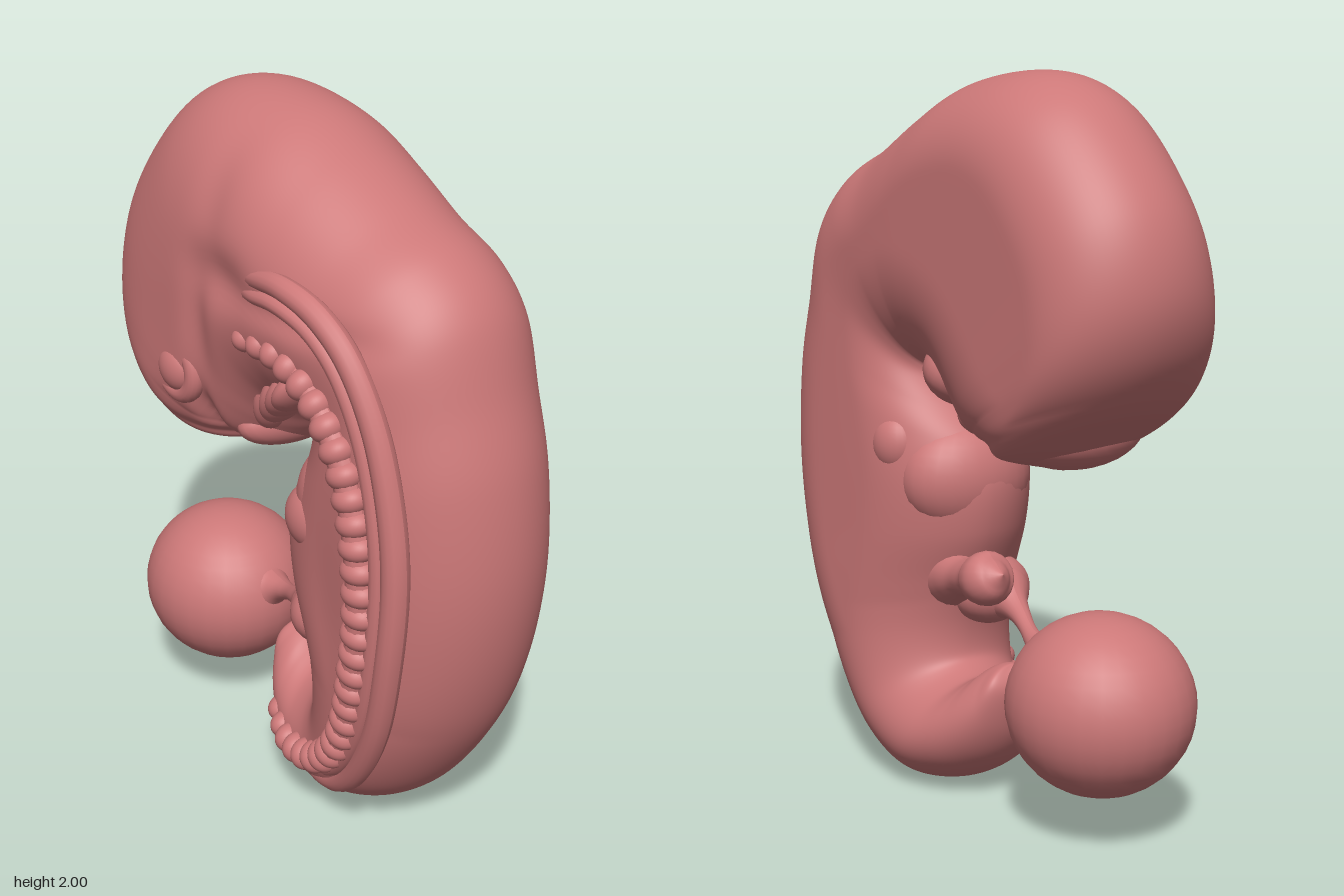
import * as THREE from 'three';

const skin = new THREE.MeshStandardMaterial({ color: 0xcc7878 });
skin.name = 'rosySkin';

// Body cross-sections from face to tail tip: back edge x, y, belly edge x, y, thickness
const KEYS = [
  [-0.34, 0.97, -0.32, 0.97, 0], [-0.48, 1.06, -0.21, 0.99, 0.68], [-0.625, 1.175, -0.17, 1.02, 0.9],
  [-0.725, 1.32, -0.11, 1.02, 0.98], [-0.76, 1.48, -0.05, 1.04, 1], [-0.72, 1.66, 0, 1.09, 1],
  [-0.60, 1.83, 0.03, 1.13, 1], [-0.46, 1.95, 0.06, 1.16, 1], [-0.29, 2, 0.09, 1.175, 1],
  [-0.06, 1.98, 0.11, 1.18, 1], [0.13, 1.905, 0.125, 1.18, 1], [0.32, 1.81, 0.135, 1.175, 1],
  [0.49, 1.735, 0.135, 1.16, 1], [0.61, 1.61, 0.12, 1.13, 1], [0.68, 1.40, 0.07, 1.07, 1],
  [0.735, 1.2, 0.01, 0.99, 1], [0.757, 0.95, -0.03, 0.88, 1], [0.735, 0.72, -0.015, 0.74, 1],
  [0.675, 0.5, 0.04, 0.6, 1], [0.585, 0.32, 0.08, 0.47, 0.97], [0.46, 0.15, 0.085, 0.38, 0.92],
  [0.33, 0.05, 0.06, 0.345, 0.88], [0.18, 0.003, 0, 0.33, 0.83], [0.03, 0.03, -0.05, 0.355, 0.72],
  [-0.08, 0.1, -0.08, 0.38, 0.6], [-0.15, 0.2, -0.11, 0.395, 0.46], [-0.18, 0.32, -0.14, 0.4, 0.3],
  [-0.165, 0.385, -0.15, 0.395, 0],
];

// Soft dents and swellings on the front side: x, y, radius x, radius y, height
const BUMPS = [
  [-0.06, 1.58, 0.12, 0.07, -0.025], [-0.17, 1.4, 0.05, 0.2, -0.018], [-0.12, 1.78, 0.06, 0.15, -0.012],
  [0.25, 1.55, 0.2, 0.04, -0.02], [-0.2, 1.1, 0.03, 0.1, -0.05], [0.3, 0.75, 0.12, 0.25, -0.015],
];

const spline = pts => new THREE.CatmullRomCurve3(pts.map(p => new THREE.Vector3(...p)), false, 'catmullrom');
const dome = (d, r) => Math.sqrt(Math.max(0, 1 - (1 - Math.min(d / r, 1)) ** 2));

function bodyGeometry() {
  const outer = spline(KEYS.map(k => [k[0], k[1], k[4]]));
  const inner = spline(KEYS.map(k => [k[2], k[3], 0]));
  const rows = 270, half = 56, ring = half * 2, pos = [], idx = [];
  for (let i = 0; i <= rows; i++) {
    const t = i / rows, o = outer.getPoint(t), n = inner.getPoint(t);
    const h = Math.max(0, o.z), len = Math.hypot(o.x - n.x, o.y - n.y);
    const key = t * (KEYS.length - 1);
    const trunk = THREE.MathUtils.smoothstep(key, 9, 14), tail = THREE.MathUtils.smoothstep(key, 18, 23);
    const limit = len / 2 + 1e-5;
    const backR = Math.min(limit, 0.27), frontR = Math.min(limit, 0.5 - 0.2 * trunk);
    const bellyR = Math.min(limit, 0.36 - 0.06 * trunk);
    for (let j = 0; j < ring; j++) {
      const front = j <= half, a = (front ? j : ring - j) / half;
      const u = (1 - Math.cos(Math.PI * a)) / 2, d = u * len;
      const x = o.x + (n.x - o.x) * u, y = o.y + (n.y - o.y) * u;
      const f = dome(d, front ? frontR : backR) * dome(len - d, bellyR) * h;
      const recess = trunk * u * u;
      let z = -0.05 - 0.025 * tail + f * (front ? 0.33 - 0.03 * trunk - 0.05 * recess : 0.06 * recess - 0.265);
      if (front) for (const [bx, by, rx, ry, amp] of BUMPS)
        z += f * amp * Math.exp(-(((x - bx) / rx) ** 2) - ((y - by) / ry) ** 2);
      pos.push(x, y, z);
    }
  }
  for (let i = 0; i < rows; i++) for (let j = 0; j < ring; j++) {
    const k = (j + 1) % ring, a = i * ring, b = a + ring;
    idx.push(a + j, a + k, b + j, a + k, b + k, b + j);
  }
  const g = new THREE.BufferGeometry();
  g.setAttribute('position', new THREE.Float32BufferAttribute(pos, 3));
  g.setIndex(idx);
  g.computeVertexNormals();
  return g;
}

// Tube whose radius follows a list of values
function taperTube(curve, radii, seg = 60, sides = 20) {
  const g = new THREE.TubeGeometry(curve, seg, 1, sides, false);
  const p = g.attributes.position, v = new THREE.Vector3();
  const rad = spline(radii.map((r, i) => [i, r, 0]));
  for (let i = 0; i < p.count; i++) {
    const t = Math.floor(i / (sides + 1)) / seg, c = curve.getPointAt(t);
    v.fromBufferAttribute(p, i).sub(c).multiplyScalar(Math.max(0.0005, rad.getPoint(t).y)).add(c);
    p.setXYZ(i, v.x, v.y, v.z);
  }
  g.computeVertexNormals();
  return g;
}

export function createModel() {
  const model = new THREE.Group();
  model.name = 'embryo';
  const add = (name, geo, parent = model) => {
    const m = new THREE.Mesh(geo, skin);
    m.name = name;
    parent.add(m);
    return m;
  };
  const ball = new THREE.SphereGeometry(1, 28, 20);
  const blob = (name, [x, y, z], [rx, ry, rz], turn = 0, parent = model) => {
    const m = add(name, ball, parent);
    m.position.set(x, y, z);
    m.scale.set(rx, ry, rz);
    m.rotation.z = turn;
    return m;
  };

  add('body', bodyGeometry());

  // Ridges along the back
  const ridge = [
    [-0.05, 1.58, 0.2], [0.06, 1.615, 0.245], [0.2, 1.635, 0.26], [0.33, 1.6, 0.25], [0.445, 1.51, 0.24],
    [0.535, 1.35, 0.23], [0.59, 1.15, 0.225], [0.61, 0.95, 0.225], [0.59, 0.72, 0.225], [0.53, 0.48, 0.21],
    [0.425, 0.28, 0.185], [0.3, 0.155, 0.155], [0.16, 0.11, 0.125], [0.03, 0.125, 0.08], [-0.05, 0.17, 0.03],
  ];
  const ridgeCurve = spline(ridge);
  add('outerBackRidge', taperTube(ridgeCurve, [0.02, 0.034, 0.036, 0.038, 0.038, 0.036, 0.032, 0.02], 140, 14));
  const inset = [];
  for (let i = 0; i <= 24; i++) {
    const p = ridgeCurve.getPoint(i / 24), t = ridgeCurve.getTangent(i / 24);
    inset.push([p.x + t.y * 0.045, p.y - t.x * 0.045, p.z + 0.015]);
  }
  add('innerBackRidge', taperTube(spline(inset), [0.015, 0.026, 0.028, 0.028, 0.026, 0.02], 140, 12));

  // Row of body segments, joined by a band
  const row = spline([
    [0.02, 1.435, 0.235], [0.15, 1.435, 0.24], [0.28, 1.385, 0.245], [0.39, 1.28, 0.245], [0.455, 1.15, 0.245],
    [0.495, 1, 0.25], [0.505, 0.82, 0.25], [0.48, 0.64, 0.245], [0.43, 0.46, 0.23], [0.36, 0.33, 0.215],
    [0.265, 0.235, 0.195], [0.16, 0.185, 0.175], [0.05, 0.17, 0.14], [-0.04, 0.19, 0.09],
  ]);
  add('segmentBand', taperTube(row, [0.015, 0.034, 0.039, 0.04, 0.039, 0.034, 0.015], 120, 12));
  const segments = new THREE.Group();
  segments.name = 'bodySegments';
  model.add(segments);
  const count = 31;
  for (let i = 0; i < count; i++) {
    const t = i / (count - 1), p = row.getPointAt(t), d = row.getTangentAt(t);
    const width = 0.04 + 0.016 * Math.sin(Math.PI * t);
    blob('segment', [p.x, p.y, p.z], [0.04, width, 0.05], Math.atan2(d.y, d.x), segments);
  }

  // Eye
  const lid = add('eyeRim', new THREE.TorusGeometry(0.074, 0.03, 16, 48));
  lid.position.set(-0.295, 1.24, 0.245);
  blob('eye', [-0.295, 1.24, 0.25], [0.068, 0.068, 0.045]);

  // Face swellings and throat arches
  blob('noseSwelling', [-0.335, 1.08, -0.01], [0.135, 0.108, 0.21], 0.1);
  blob('jawSwelling', [-0.11, 1.1, -0.02], [0.085, 0.085, 0.2], 0.5);
  blob('throatSwelling', [0.01, 1.2, -0.1], [0.11, 0.1, 0.14], 0.5);
  for (let i = 0; i < 4; i++)
    blob('throatArch', [-0.02 + i * 0.055, 1.225 + i * 0.03, 0.1 + i * 0.02],
      [0.04, 0.125 - i * 0.012, 0.09], -0.3 - i * 0.1);

  // Front limb buds on both sides, and the heart between them
  blob('leftLimbBud', [0.195, 0.955, 0.155], [0.092, 0.095, 0.075]);
  blob('leftLimbBudRoot', [0.21, 1.04, 0.14], [0.07, 0.13, 0.07], -0.2);
  blob('rightLimbBud', [0.2, 0.98, -0.215], [0.08, 0.09, 0.07]);
  blob('heartSwelling', [0.11, 0.885, -0.05], [0.14, 0.17, 0.2]);

  // Cord stub
  add('cordStub', taperTube(spline([
    [0.14, 0.6, -0.08], [0.02, 0.62, -0.13], [-0.1, 0.645, -0.16], [-0.19, 0.668, -0.18],
    [-0.225, 0.68, -0.18], [-0.25, 0.69, -0.18],
  ]), [0.1, 0.09, 0.07, 0.052, 0.05, 0.055, 0.072, 0.066, 0]));

  // Yolk sac and its stalk
  blob('yolkSac', [-0.49, 0.372, -0.04], [0.257, 0.243, 0.25]);
  blob('stalkRoot', [0.075, 0.555, 0.01], [0.1, 0.1, 0.12]);
  add('yolkStalk', taperTube(spline([
    [0.1, 0.55, 0.03], [0.02, 0.545, 0.02], [-0.08, 0.515, 0], [-0.18, 0.475, -0.03], [-0.24, 0.455, -0.04],
    [-0.31, 0.43, -0.04],
  ]), [0.09, 0.082, 0.042, 0.026, 0.025, 0.045, 0.1]));

  return model;
}
